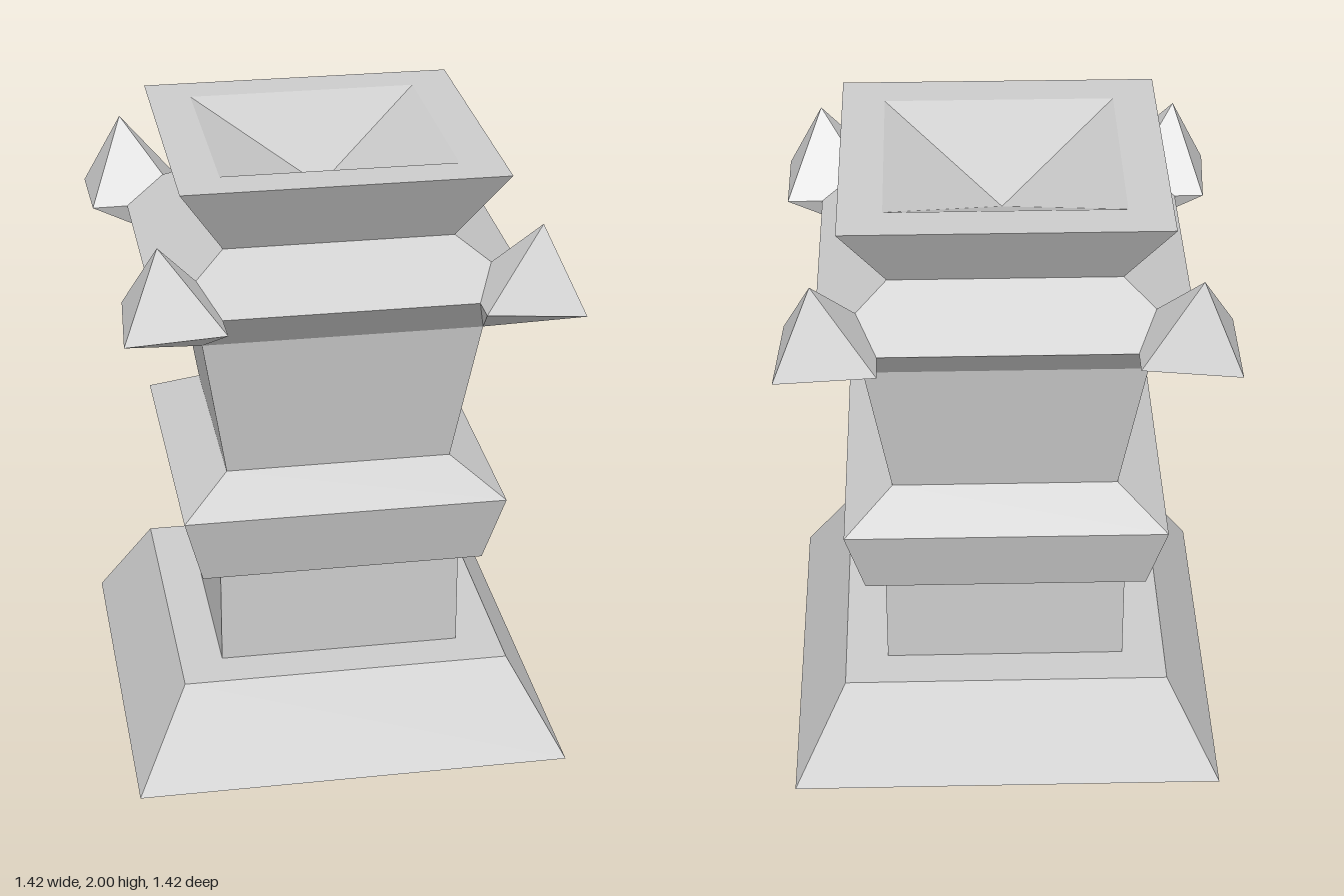
import * as THREE from 'three';

const material = new THREE.MeshStandardMaterial({
  color: 0xcccccc, flatShading: true, side: THREE.DoubleSide,
});

// Square loft: each profile point is [half width, height], listed upwards.
function squareLoft(name, profile) {
  const points = profile.map(([half, y]) => new THREE.Vector2(half * Math.SQRT2, y));
  const mesh = new THREE.Mesh(new THREE.LatheGeometry(points, 4, Math.PI / 4), material);
  mesh.name = name;
  return mesh;
}

// Four-sided spike with a short pyramid below that tapers back to the pillar.
function spikeGeometry() {
  const corners = [
    [0.708, 1.605, 0.708], [0.4, 1.62, 0.685], [0.4, 1.62, 0.4], [0.705, 1.62, 0.395],
  ];
  const tip = [0.59, 1.87, 0.59];
  const root = [0.445, 1.475, 0.445];
  const positions = [];
  corners.forEach((corner, i) => {
    const next = corners[(i + 1) % 4];
    positions.push(...next, ...corner, ...tip, ...corner, ...next, ...root);
  });
  const geometry = new THREE.BufferGeometry();
  geometry.setAttribute('position', new THREE.Float32BufferAttribute(positions, 3));
  geometry.computeVertexNormals();
  return geometry;
}

export function createModel() {
  const group = new THREE.Group();
  group.name = 'pillar';

  // Hollow body, open at the bottom
  group.add(
    squareLoft('base', [[0.708, 0], [0.535, 0.31], [0.395, 0.31]]),
    squareLoft('lowerShaft', [[0.395, 0.31], [0.395, 0.655]]),
    squareLoft('middleBand', [[0.395, 0.655], [0.46, 0.655], [0.522, 0.89], [0.365, 0.99]]),
    squareLoft('upperShaft', [[0.365, 0.99], [0.445, 1.475]]),
    squareLoft('collar', [[0.445, 1.475], [0.59, 1.62], [0.365, 1.76]]),
    // Flared top with a sunken pyramid
    squareLoft('capital', [[0.365, 1.76], [0.51, 2], [0.372, 2], [0, 1.81]]),
  );

  // Corner spikes
  const geometry = spikeGeometry();
  for (let i = 0; i < 4; i++) {
    const spike = new THREE.Mesh(geometry, material);
    spike.name = `cornerSpike${i + 1}`;
    spike.rotation.y = (i * Math.PI) / 2;
    group.add(spike);
  }
  return group;
}
